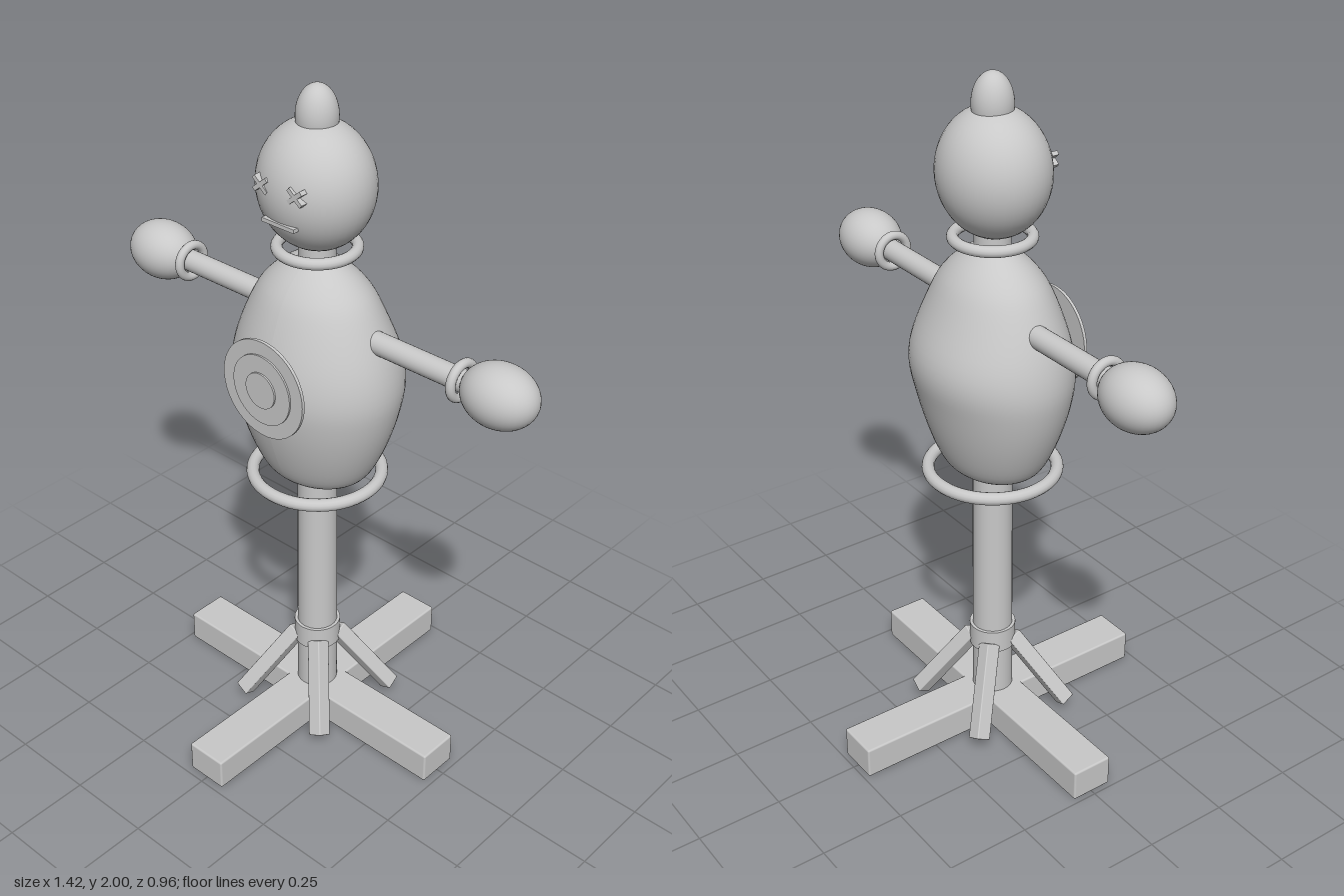
import * as THREE from 'three';
import { RoundedBoxGeometry } from 'three/addons/geometries/RoundedBoxGeometry.js';

export function createModel() {
  const model = new THREE.Group();
  model.name = 'trainingDummy';
  const grey = new THREE.MeshStandardMaterial({ color: 0xc8c8c8 });
  grey.name = 'plainGrey';

  const add = (name, geometry, x = 0, y = 0, z = 0, parent = model) => {
    const mesh = new THREE.Mesh(geometry, grey);
    mesh.name = name;
    mesh.position.set(x, y, z);
    parent.add(mesh);
    return mesh;
  };
  const ellipsoid = (rx, ry, rz) => new THREE.SphereGeometry(1, 40, 28).scale(rx, ry, rz);
  const flatRing = (outer, tube) =>
    new THREE.TorusGeometry(outer - tube, tube, 14, 56).rotateX(Math.PI / 2);

  // Crossed base beams
  add('baseBeamSide', new RoundedBoxGeometry(0.965, 0.095, 0.126, 2, 0.006), -0.004, 0.0525, 0);
  add('baseBeamFront', new RoundedBoxGeometry(0.126, 0.095, 0.965, 2, 0.006), 0, 0.0525, -0.003);

  // Post and its collar
  add('post', new THREE.CylinderGeometry(0.056, 0.06, 0.82, 32), 0, 0.5, 0);
  add('postCollar', new THREE.CylinderGeometry(0.068, 0.068, 0.07, 32), 0, 0.287, 0);

  // Diagonal braces between the post and the ground
  const up = new THREE.Vector3(0, 1, 0);
  for (const sx of [-1, 1]) for (const sz of [-1, 1]) {
    const foot = new THREE.Vector3(sx * 0.155, 0.05, sz * 0.16);
    const top = new THREE.Vector3(sx * 0.04, 0.275, sz * 0.04);
    const along = top.clone().sub(foot);
    const brace = add('brace', new RoundedBoxGeometry(0.045, along.length(), 0.045, 2, 0.003));
    brace.position.copy(foot).add(top).multiplyScalar(0.5);
    brace.quaternion.setFromUnitVectors(up, along.normalize());
  }

  // Stuffed body: a smooth egg, shallower front to back, fuller behind
  const outline = [[0, 0.845], [0.07, 0.85], [0.135, 0.87], [0.175, 0.91], [0.217, 1.0], [0.247, 1.1],
    [0.257, 1.19], [0.237, 1.29], [0.185, 1.41], [0.14, 1.47], [0.085, 1.513], [0.04, 1.535], [0, 1.54]];
  const curve = new THREE.SplineCurve(outline.map(([r, y]) => new THREE.Vector2(r, y)));
  const profile = curve.getPoints(48).map(p => new THREE.Vector2(Math.max(p.x, 0), p.y));
  profile[0].x = profile[profile.length - 1].x = 0;
  const bodyGeometry = new THREE.LatheGeometry(profile, 56);
  const pos = bodyGeometry.attributes.position;
  for (let i = 0; i < pos.count; i++) {
    const y = pos.getY(i), z = pos.getZ(i);
    const bulge = Math.exp(-(((y - 1.23) / 0.1) ** 2));
    pos.setZ(i, z * (z > 0 ? 0.8 : 0.79 + 0.06 * bulge));
  }
  bodyGeometry.computeVertexNormals();
  add('body', bodyGeometry);

  // Rope rings at the hips and neck
  add('hipRing', flatRing(0.2, 0.018), 0, 0.86, 0);
  add('neckRing', flatRing(0.122, 0.016), 0, 1.557, 0);
  add('neck', new THREE.CylinderGeometry(0.05, 0.05, 0.12, 28), 0, 1.55, 0);

  // Target of stacked discs on the belly
  [[0.143, 0.204], [0.102, 0.209], [0.052, 0.214]].forEach(([r, z], i) =>
    add(`targetDisc${i + 1}`, new THREE.CylinderGeometry(r, r, 0.009, 56).rotateX(Math.PI / 2), 0, 1.215, z + 0.005));

  // Arm pole, wrist rings and padded hands
  add('armPole', new THREE.CylinderGeometry(0.031, 0.031, 1.04, 28).rotateZ(Math.PI / 2), 0, 1.345, -0.004);
  for (const s of [-1, 1]) {
    const side = s > 0 ? 'left' : 'right';
    const ring = new THREE.TorusGeometry(0.047, 0.013, 14, 40).rotateY(Math.PI / 2);
    add(`${side}WristRing`, ring, s * 0.486, 1.345, -0.004);
    add(`${side}Hand`, ellipsoid(0.109, 0.085, 0.086), s * 0.603, s > 0 ? 1.348 : 1.342, -0.006);
  }

  // Head and topknot
  add('head', ellipsoid(0.164, 0.177, 0.149), 0, 1.735, 0.003);
  add('topknot', ellipsoid(0.056, 0.085, 0.056), 0, 1.915, 0);

  // Stitched cross eyes and a straight mouth
  for (const s of [-1, 1]) {
    const eye = new THREE.Group();
    eye.name = s > 0 ? 'leftEye' : 'rightEye';
    eye.position.set(s * 0.059, 1.76, 0.139);
    for (const turn of [-1, 1]) {
      add('stitch', new THREE.BoxGeometry(0.056, 0.012, 0.02), 0, 0, 0, eye).rotation.z = turn * 0.69;
    }
    model.add(eye);
  }
  add('mouth', new THREE.BoxGeometry(0.11, 0.011, 0.02), 0, 1.667, 0.138);

  return model;
}
